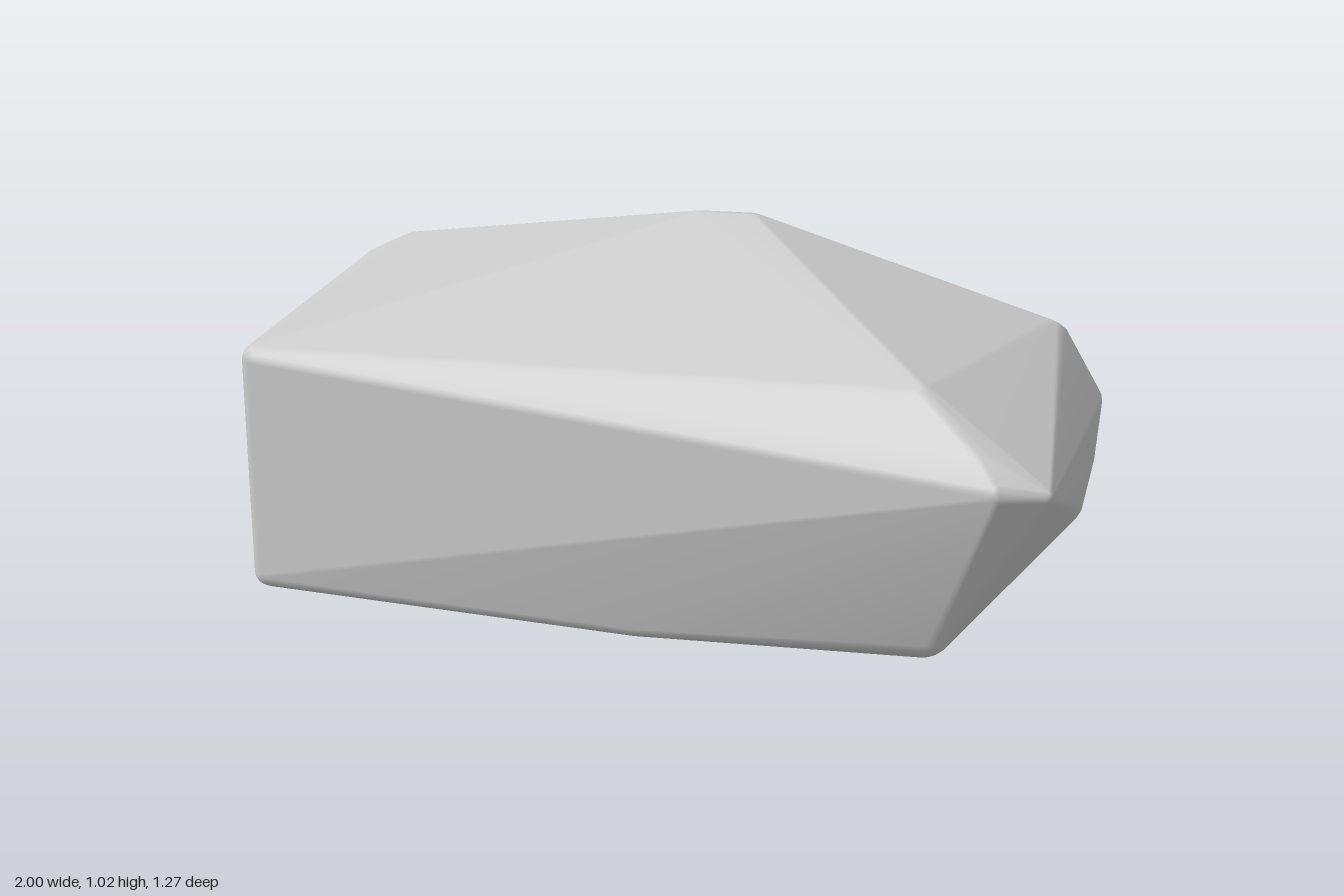
import * as THREE from 'three';
import { ConvexGeometry } from 'three/addons/geometries/ConvexGeometry.js';
import { mergeVertices } from 'three/addons/utils/BufferGeometryUtils.js';

// Worn corners of the boulder: centre x, y, z and rounding radius
const CORNERS = [
  // top ridge
  [0.04, 0.99, -0.11, 0.03], [0.17, 0.99, -0.11, 0.03],
  // front face, bowed slightly in the middle
  [-0.9, 0.735, 0.345, 0.04], [-0.9, 0.215, 0.345, 0.04],
  [-0.1, 0.73, 0.43, 0.035], [0, 0.2, 0.44, 0.035],
  [0.63, 0.77, 0.47, 0.04], [0.66, 0.23, 0.45, 0.05], [0.65, 0.19, 0.42, 0.03],
  // pointed front corner
  [0.9, 0.615, 0.575, 0.02], [0.8, 0.625, 0.603, 0.035], [0.76, 0.67, 0.56, 0.04],
  // +x end
  [0.85, 0.71, -0.22, 0.06], [0.86, 0.69, -0.27, 0.06], [0.94, 0.56, -0.25, 0.06],
  [0.93, 0.42, -0.25, 0.06], [0.91, 0.32, -0.2, 0.06],
  // back
  [-0.8, 0.78, -0.54, 0.04], [-0.9, 0.73, -0.55, 0.04], [-0.25, 0.76, -0.52, 0.06],
  [-0.6, 0.55, -0.597, 0.04], [-0.6, 0.44, -0.597, 0.04],
  [-0.25, 0.2, -0.535, 0.04], [-0.86, 0.22, -0.5, 0.06],
  // underside and -x end
  [-0.66, 0.03, -0.11, 0.03], [-0.85, 0.03, -0.11, 0.03],
  [-0.97, 0.075, -0.1, 0.03], [-0.97, 0.09, 0, 0.03],
];

// Smooth convex hull around a small ball at every corner
function roundedHull(corners) {
  const ball = mergeVertices(new THREE.IcosahedronGeometry(1, 2).deleteAttribute('normal').deleteAttribute('uv'));
  const ballPos = ball.getAttribute('position');
  const points = [];
  for (const [x, y, z, radius] of corners) {
    for (let i = 0; i < ballPos.count; i++) {
      const p = new THREE.Vector3().fromBufferAttribute(ballPos, i);
      points.push(p.multiplyScalar(radius).add(new THREE.Vector3(x, y, z)));
    }
  }
  const hull = new ConvexGeometry(points);
  hull.deleteAttribute('normal');
  const smooth = mergeVertices(hull, 1e-5);
  smooth.computeVertexNormals();
  return smooth;
}

export function createModel() {
  const group = new THREE.Group();
  group.name = 'rock';
  const stone = new THREE.MeshStandardMaterial({ color: 0xcccccc });
  stone.name = 'stoneGrey';
  const boulder = new THREE.Mesh(roundedHull(CORNERS), stone);
  boulder.name = 'boulder';
  group.add(boulder);
  return group;
}
